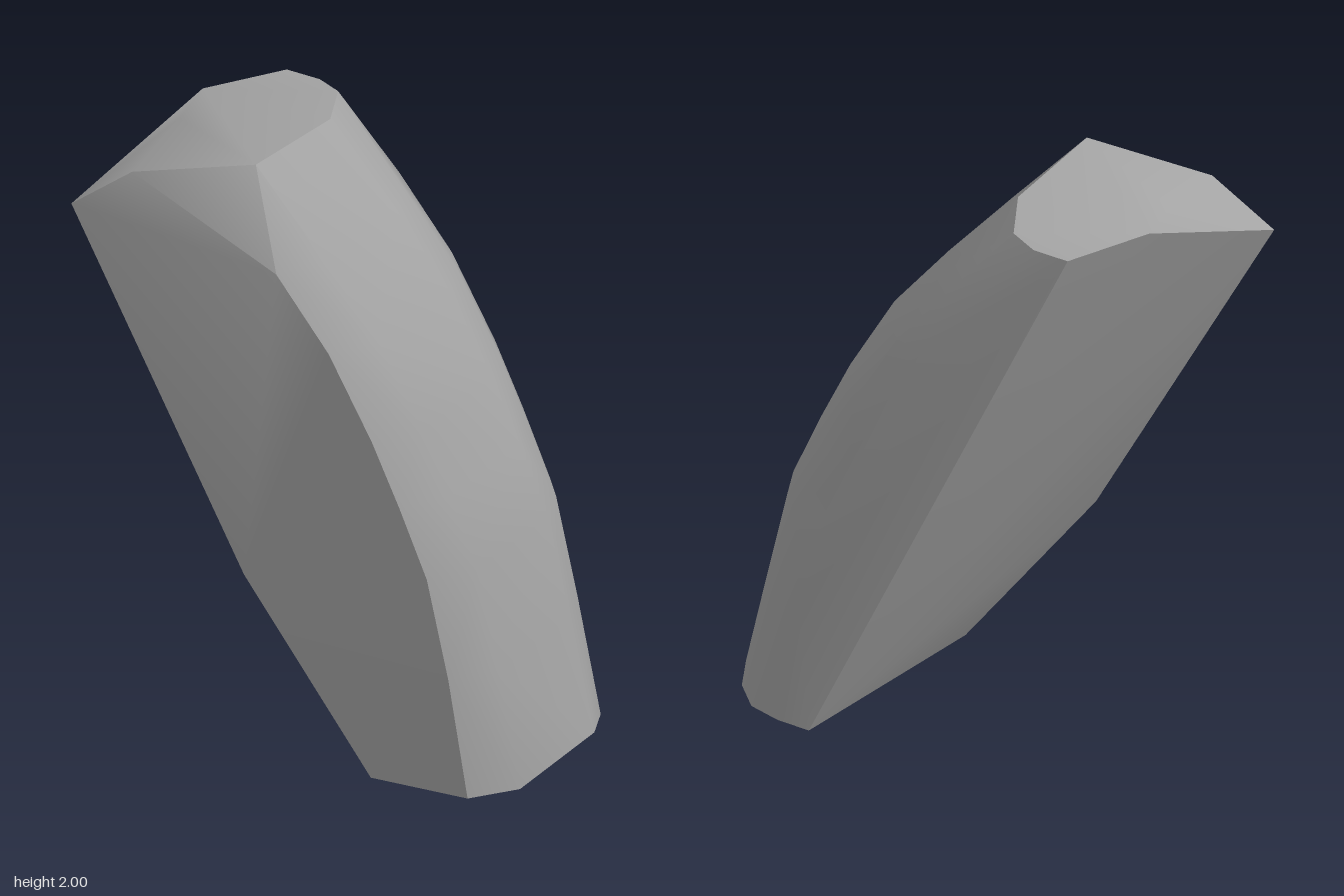
import * as THREE from 'three';
import { ConvexGeometry } from 'three/addons/geometries/ConvexGeometry.js';
import { toCreasedNormals } from 'three/addons/utils/BufferGeometryUtils.js';

export function createModel() {
  const group = new THREE.Group();
  const grey = new THREE.MeshStandardMaterial({ color: 0xa3a3a3 });
  grey.name = 'stone grey';

  const points = [];
  const add = (x, y, z) => points.push(new THREE.Vector3(x, y, z));

  // Curved outer side: one bowed outline, stepped inwards towards the front and back
  const bow = [[0.66, 0.44], [0.59, 0.78], [0.5, 1.01], [0.41, 1.22], [0.27, 1.49], [0.1, 1.72]];
  const steps = [[0.315, 0.175], [0.2, 0.07], [-0.12, 0], [-0.22, 0.025], [-0.29, 0.08], [-0.315, 0.17]];
  for (const [z, inset] of steps) for (const [x, y] of bow) add(x - inset, y, z);

  // Slanted bottom end
  [
    [0.23, 0, 0.31], [0.545, 0.03, 0.31], [0.66, 0.03, 0.2], [0.74, 0.05, -0.12],
    [0.71, 0.04, -0.22], [0.65, 0.03, -0.29], [0.56, 0.02, -0.31], [0.46, 0.01, -0.31],
  ].forEach((p) => add(...p));

  // Flat inner side, with a bend low on its front edge
  add(-0.18, 0.6, 0.315);
  add(-0.745, 1.75, 0.31);

  // Faceted top end
  [
    [-0.56, 1.91, 0.285], [-0.2, 2, 0.2], [-0.12, 1.98, -0.12], [-0.17, 1.965, -0.27],
    [-0.25, 1.955, -0.31], [-0.36, 1.95, -0.315], [-0.53, 1.96, -0.11], [-0.53, 1.952, 0.04],
  ].forEach((p) => add(...p));

  const body = new THREE.Mesh(toCreasedNormals(new ConvexGeometry(points), 0.7), grey);
  body.name = 'curvedBlock';
  group.add(body);
  return group;
}
